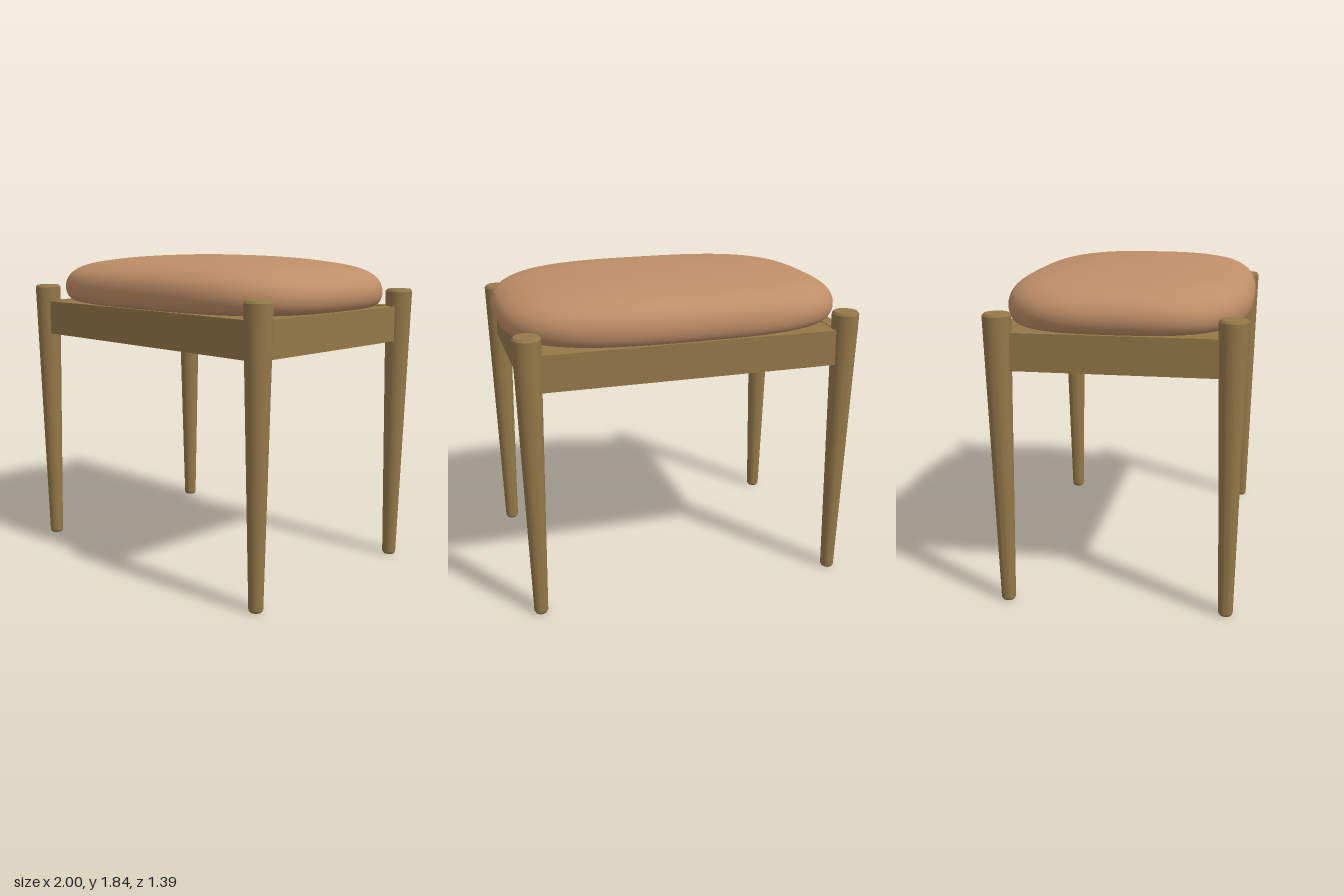
import * as THREE from 'three';
import { mergeVertices, toCreasedNormals } from 'three/addons/utils/BufferGeometryUtils.js';

const wood = new THREE.MeshStandardMaterial({ color: 0x947848 });
wood.name = 'wood';
const leather = new THREE.MeshStandardMaterial({ color: 0xbf8e67 });
leather.name = 'tan leather';

function add(parent, name, geometry, material, x = 0, y = 0, z = 0) {
  const mesh = new THREE.Mesh(geometry, material);
  mesh.name = name;
  mesh.position.set(x, y, z);
  parent.add(mesh);
  return mesh;
}

// Domed cushion: a lathe whose circular rings become superellipses
function cushionGeometry(halfX, halfZ, power) {
  const section = [
    [0.9, 1.545], [0.96, 1.558], [0.99, 1.59], [1, 1.635], [0.99, 1.68], [0.96, 1.72],
    [0.9, 1.756], [0.8, 1.785], [0.6, 1.813], [0.4, 1.829], [0.2, 1.837], [0, 1.84],
  ].map(([r, y]) => new THREE.Vector2(r, y));
  const curve = new THREE.SplineCurve(section).getPoints(44);
  const profile = [new THREE.Vector2(0, 1.545), new THREE.Vector2(0.6, 1.545), ...curve];
  let geo = new THREE.LatheGeometry(profile, 96);
  const p = geo.attributes.position;
  for (let i = 0; i < p.count; i++) {
    const x = p.getX(i), z = p.getZ(i);
    const r = Math.hypot(x, z);
    if (r < 1e-6) continue;
    const norm = Math.pow(Math.abs(x / r) ** power + Math.abs(z / r) ** power, -1 / power);
    p.setX(i, x * norm * halfX);
    p.setZ(i, z * norm * halfZ);
  }
  geo.deleteAttribute('uv');
  geo.deleteAttribute('normal');
  geo = mergeVertices(geo, 1e-5);
  geo.computeVertexNormals();
  return geo;
}

// Tapered round leg with small chamfers at both ends
function legGeometry() {
  const profile = [
    [0, 0], [0.033, 0], [0.04, 0.012], [0.077, 1.632], [0.067, 1.645], [0, 1.645],
  ].map(([r, y]) => new THREE.Vector2(r, y));
  return toCreasedNormals(new THREE.LatheGeometry(profile, 32), 0.45);
}

export function createModel() {
  const stool = new THREE.Group();
  stool.name = 'stool';

  add(stool, 'cushion', cushionGeometry(1, 0.695, 3.1), leather);

  // Four legs
  const leg = legGeometry();
  for (const sx of [1, -1]) {
    for (const sz of [1, -1]) {
      const name = (sz > 0 ? 'front' : 'back') + (sx > 0 ? 'Left' : 'Right') + 'Leg';
      add(stool, name, leg, wood, sx * 0.907, 0, sz * 0.617);
    }
  }

  // Apron rails between the legs
  const t = 0.08, height = 0.205, y = 1.4425, outX = 0.93, outZ = 0.65;
  const longRail = new THREE.BoxGeometry(outX * 2, height, t);
  const shortRail = new THREE.BoxGeometry(t, height, (outZ - t) * 2);
  for (const s of [1, -1]) {
    add(stool, s > 0 ? 'frontRail' : 'backRail', longRail, wood, 0, y, s * (outZ - t / 2));
    add(stool, s > 0 ? 'leftRail' : 'rightRail', shortRail, wood, s * (outX - t / 2), y, 0);
  }

  // Board under the cushion
  const board = new THREE.BoxGeometry((outX - t) * 2, 0.1, (outZ - t) * 2);
  add(stool, 'seatBoard', board, wood, 0, 1.49, 0);

  return stool;
}
